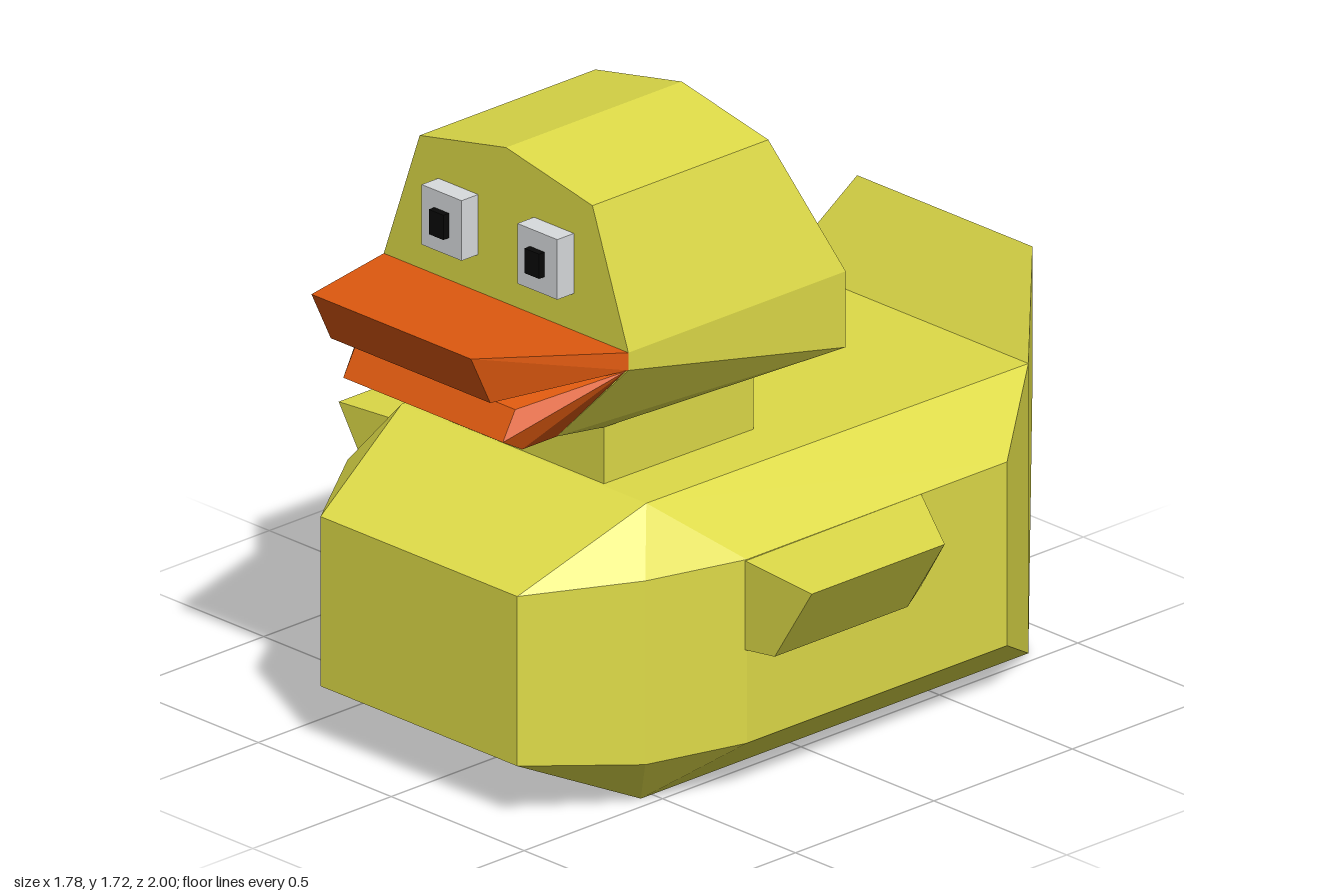
import * as THREE from 'three';
import { ConvexGeometry } from 'three/addons/geometries/ConvexGeometry.js';

const material = (name, color) => {
  const m = new THREE.MeshStandardMaterial({ color });
  m.name = name;
  return m;
};

// Faceted solid through a few corners
const solid = (points) => new ConvexGeometry(points.map((p) => new THREE.Vector3(...p)));

// Corners on the left half, repeated on the right
const mirrored = (points) =>
  points.flatMap(([x, y, z]) => (x === 0 ? [[x, y, z]] : [[x, y, z], [-x, y, z]]));

export function createModel() {
  const duck = new THREE.Group();
  duck.name = 'duck';
  const yellow = material('yellow', 0xdedb48);
  const orange = material('orange', 0xe25b10);
  const white = material('eyeWhite', 0xd9dcde);
  const black = material('pupilBlack', 0x080808);

  const add = (name, geometry, mat, x = 0, y = 0, z = 0) => {
    const mesh = new THREE.Mesh(geometry, mat);
    mesh.name = name;
    mesh.position.set(x, y, z);
    duck.add(mesh);
    return mesh;
  };

  // Body with bevelled top and bottom
  add('body', solid(mirrored([
    [0.37, 0.65, 0.9], [0.37, 0.17, 0.9],
    [0.56, 0.67, 0.62], [0.56, 0.15, 0.62],
    [0.64, 0.67, 0.33], [0.64, 0.15, 0.33],
    [0.64, 0.67, -0.61], [0.64, 0.15, -0.61],
    [0.46, 0.83, 0.52], [0.46, 0.82, -0.86],
    [0.46, 0, 0.54], [0.46, 0, -0.86],
  ])), yellow);

  // Upturned tail
  add('tail', solid(mirrored([
    [0.46, 0, -0.86], [0.46, 0.82, -0.86],
    [0.33, 0.7, -1], [0.33, 1.07, -1],
  ])), yellow);

  // Neck block between body and head
  add('neck', new THREE.BoxGeometry(0.58, 0.2, 0.54), yellow, 0, 0.9, 0.24);

  // Head: flat-faced crown above, chin below
  add('crown', solid(mirrored([
    [0, 1.715, 0.585], [0.325, 1.65, 0.585], [0.46, 1.275, 0.585], [0.46, 1.225, 0.585],
    [0, 1.715, -0.05], [0.325, 1.65, -0.05], [0.46, 1.275, -0.2], [0.46, 1.225, -0.2],
  ])), yellow);
  add('chin', solid(mirrored([
    [0.46, 1.225, 0.585], [0.46, 1.225, -0.2],
    [0.3, 1.02, 0.69], [0.46, 1.06, -0.2],
    [0.29, 0.99, 0.51], [0.29, 0.99, -0.03],
  ])), yellow);

  // Beak halves, both tapering forward
  add('upperBeak', solid(mirrored([
    [0.46, 1.275, 0.585], [0.46, 1.225, 0.585],
    [0.3, 1.33, 1], [0.3, 1.185, 0.93],
  ])), orange);
  add('lowerBeak', solid(mirrored([
    [0.46, 1.225, 0.595], [0.3, 1.14, 0.84], [0.3, 1.06, 0.885],
    [0.3, 1.02, 0.815], [0.3, 1.02, 0.69],
  ])), orange);

  for (const [side, s] of [['left', 1], ['right', -1]]) {
    // Wing stub, swept at the rear
    add(side + 'Wing', solid([
      [0.6, 0.67, 0.335], [0.89, 0.65, 0.335], [0.75, 0.43, 0.335], [0.6, 0.41, 0.335],
      [0.64, 0.67, -0.3], [0.64, 0.41, -0.3],
      [0.89, 0.65, -0.145], [0.75, 0.43, -0.145],
    ].map(([x, y, z]) => [s * x, y, z])), yellow);

    // Eye block and pupil
    add(side + 'Eye', new THREE.BoxGeometry(0.15, 0.17, 0.07), white, s * 0.18, 1.465, 0.61);
    add(side + 'Pupil', new THREE.BoxGeometry(0.055, 0.07, 0.03), black, s * 0.18, 1.465, 0.65);
  }

  return duck;
}
